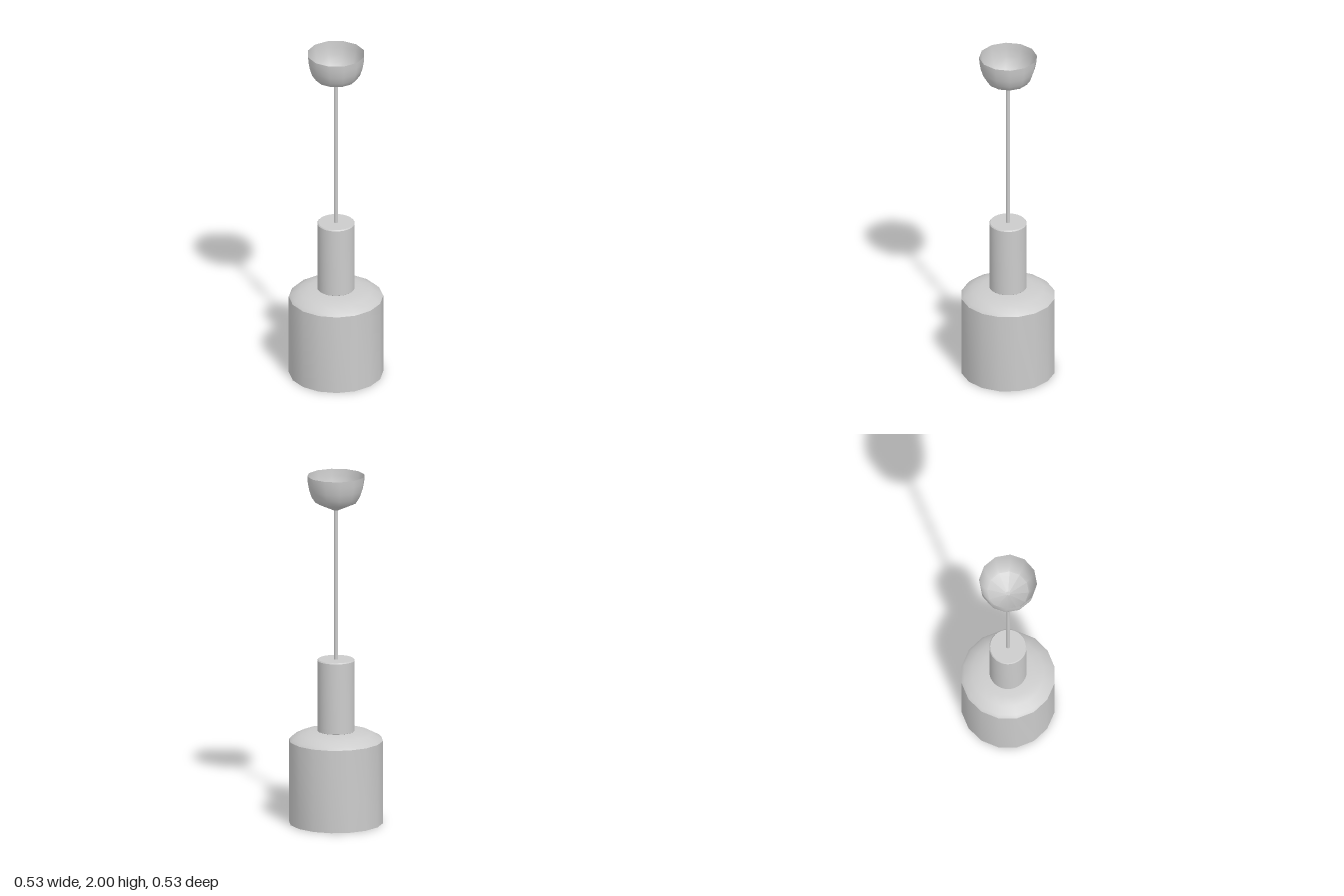
import * as THREE from 'three';
import { toCreasedNormals } from 'three/addons/utils/BufferGeometryUtils.js';

const material = new THREE.MeshStandardMaterial({ color: 0xcccccc, side: THREE.DoubleSide });

// Turned part from [radius, height] pairs
function turned(name, profile, sides, crease = 0.55) {
  const points = profile.map(([r, y]) => new THREE.Vector2(r, y));
  const geometry = toCreasedNormals(new THREE.LatheGeometry(points, sides), crease);
  const mesh = new THREE.Mesh(geometry, material);
  mesh.name = name;
  return mesh;
}

export function createModel() {
  const group = new THREE.Group();
  group.name = 'pendantLamp';

  // Thin-walled drum shade, open below: inner wall down, rim, outer wall up
  group.add(turned('shade', [
    [0.08, 0.522], [0.15, 0.519], [0.2, 0.507], [0.245, 0.485], [0.258, 0.474], [0.258, 0],
    [0.265, 0], [0.265, 0.475], [0.25, 0.49], [0.203, 0.514], [0.15, 0.527], [0.08, 0.53],
  ], 16, 0.7));

  // Lamp holder with a slightly softened top edge
  group.add(turned('holder', [
    [0.001, 0.525], [0.1, 0.525], [0.105, 0.53], [0.105, 0.935], [0.1, 0.941], [0.001, 0.941],
  ], 32));

  // Suspension cord
  group.add(turned('cord', [[0.012, 0.935], [0.012, 1.805], [0.001, 1.805]], 16));

  // Ceiling cup, open at the top
  group.add(turned('ceilingCup', [
    [0.001, 1.795], [0.117, 1.848], [0.138, 1.879], [0.152, 1.92], [0.16, 1.962], [0.163, 2],
  ], 12));

  return group;
}
